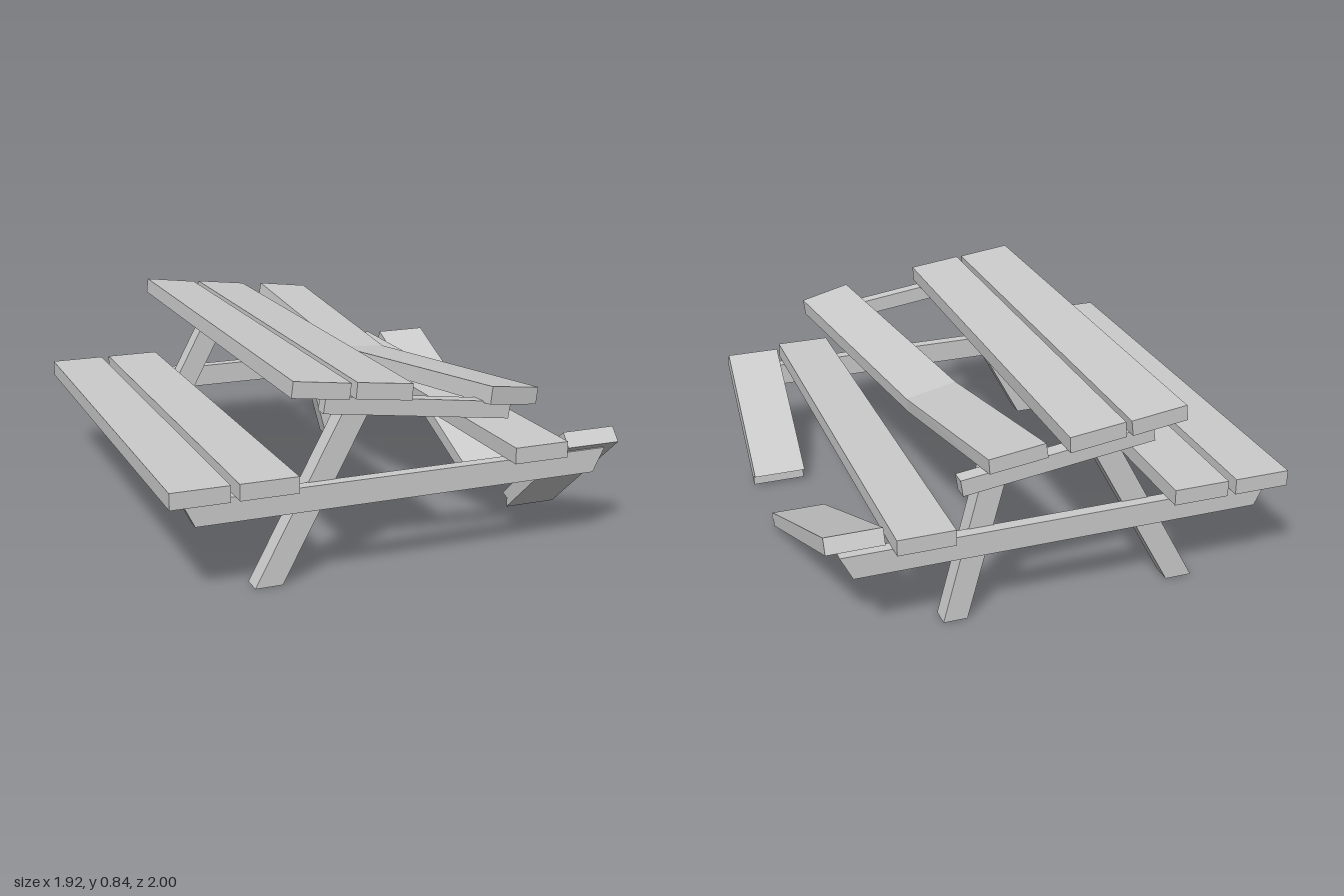
import * as THREE from 'three';

const material = new THREE.MeshStandardMaterial({ color: 0xcccccc, flatShading: true });

// Extrudes an (x, y) outline from z0 to z1
function slab(outline, z0, z1) {
  const shape = new THREE.Shape(outline.map(([x, y]) => new THREE.Vector2(x, y)));
  const geometry = new THREE.ExtrudeGeometry(shape, { depth: z1 - z0, bevelEnabled: false });
  return geometry.translate(0, 0, z0);
}

// Extrudes a (z, y) outline from x0 to x1
function sideSlab(outline, x0, x1) {
  return slab(outline.map(([z, y]) => [-z, y]), x0, x1).rotateY(Math.PI / 2);
}

// Joins four-cornered cross-sections (ordered back to front, corners counterclockwise from the front)
function loft(sections) {
  const index = [];
  const last = (sections.length - 1) * 4;
  for (let s = 0; s < last; s += 4) {
    for (let i = 0; i < 4; i++) {
      const a = s + i, b = s + (i + 1) % 4;
      index.push(a, b, b + 4, a, b + 4, a + 4);
    }
  }
  index.push(0, 2, 1, 0, 3, 2, last, last + 1, last + 2, last, last + 2, last + 3);
  const geometry = new THREE.BufferGeometry();
  geometry.setAttribute('position', new THREE.Float32BufferAttribute(sections.flat(2), 3));
  geometry.setIndex(index);
  const flat = geometry.toNonIndexed();
  flat.computeVertexNormals();
  return flat;
}

export function createModel() {
  const model = new THREE.Group();
  const add = (name, geometry) => {
    const mesh = new THREE.Mesh(geometry, material);
    mesh.name = name;
    model.add(mesh);
  };

  // Intact bench planks
  for (const x of [-0.845, -0.575, 0.575]) {
    add('benchPlank', new THREE.BoxGeometry(0.235, 0.067, 2).translate(x, 0.439, 0));
  }

  // Tilted tabletop planks
  add('tabletopPlank', slab([[-0.49, 0.778], [-0.258, 0.748], [-0.25, 0.812], [-0.482, 0.842]], -1, 1));
  add('tabletopPlank', slab([[-0.232, 0.748], [0, 0.718], [0.004, 0.784], [-0.226, 0.812]], -1, 1));

  // Sagging, cracked tabletop plank
  add('brokenTabletopPlank', loft([
    [[0.09, 0.715, -1], [0.325, 0.685, -1], [0.33, 0.747, -1], [0.10, 0.777, -1]],
    [[0.147, 0.594, -0.1], [0.38, 0.565, -0.14], [0.388, 0.628, -0.14], [0.155, 0.656, -0.1]],
    [[0.335, 0.665, 1], [0.562, 0.63, 0.955], [0.57, 0.7, 0.955], [0.343, 0.737, 1]],
  ]));

  // Bench rails with slanted ends
  const rail = [[-0.85, 0.306], [0.85, 0.306], [0.9, 0.406], [-0.9, 0.406]];
  add('benchRail', slab(rail, 0.895, 0.945));
  add('benchRail', slab(rail, -0.945, -0.895));

  // Tilted bars under the tabletop
  add('tabletopBar', slab([[-0.345, 0.69], [0.44, 0.585], [0.45, 0.652], [-0.335, 0.758]], 0.9, 0.955));
  add('tabletopBar', slab([[-0.37, 0.695], [0.42, 0.592], [0.43, 0.66], [-0.36, 0.762]], -0.968, -0.905));

  // Splayed legs; the front one on the broken side is missing
  const leg = [[-0.603, 0], [-0.49, 0], [-0.1, 0.727], [-0.205, 0.741]];
  const brokenSideLeg = [[0.382, 0], [0.482, 0], [0.306, 0.67], [0.2, 0.684]];
  add('frontLeg', slab(leg, 0.818, 0.9));
  add('backLeg', slab(leg, -0.9, -0.818));
  add('backLeg', slab(brokenSideLeg, -0.9, -0.818));

  // Snapped outer bench plank, both halves drooping to the ground with splintered ends
  add('brokenBenchFront', sideSlab(
    [[0.915, 0.483], [0.963, 0.43], [0.475, 0.008], [0.477, 0.05], [0.44, 0.063]], 0.72, 0.953));
  add('brokenBenchBack', sideSlab(
    [[-0.915, 0.49], [0.066, 0.075], [0.096, 0.035], [0.052, 0.048], [0.05, 0.018], [-0.943, 0.428]], 0.72, 0.953));

  return model;
}
